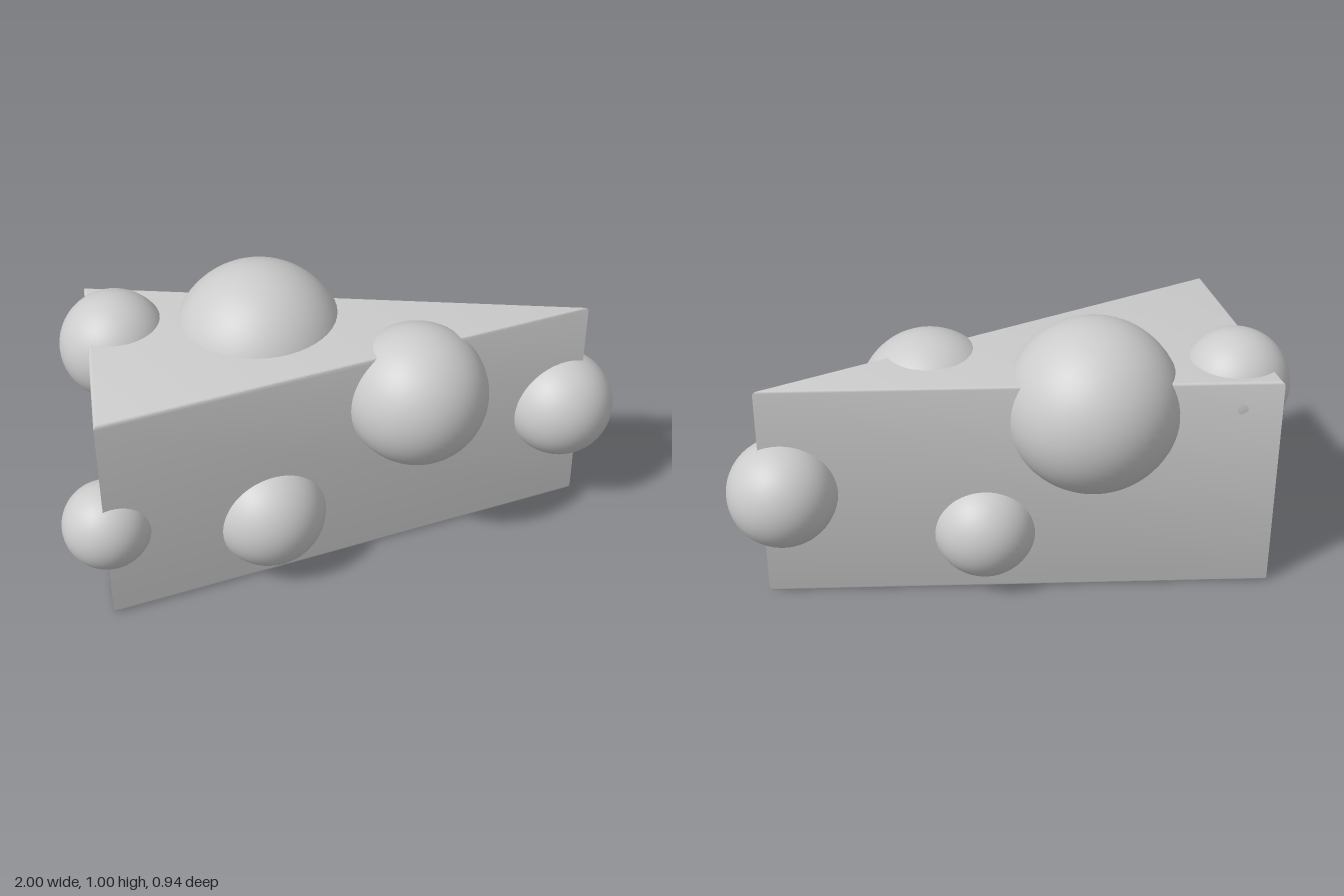
import * as THREE from 'three';
import { toCreasedNormals } from 'three/addons/utils/BufferGeometryUtils.js';

const material = new THREE.MeshStandardMaterial({ color: 0xcccccc });

// Triangular block with softly bevelled top and bottom edges
function createWedge() {
  const height = 0.825, bevel = 0.015;
  // Plan outline, drawn as (x, -z)
  const outline = new THREE.Shape([
    new THREE.Vector2(-0.857, -0.4),
    new THREE.Vector2(0.88, 0.01),
    new THREE.Vector2(-0.857, 0.412),
  ]);
  const geometry = new THREE.ExtrudeGeometry(outline, {
    depth: height - 2 * bevel,
    bevelThickness: bevel,
    bevelSize: bevel,
    bevelOffset: -bevel,
    bevelSegments: 4,
  });
  geometry.rotateX(-Math.PI / 2);
  geometry.translate(0, bevel + 0.004, 0);
  const wedge = new THREE.Mesh(toCreasedNormals(geometry, 0.6), material);
  wedge.name = 'wedge';
  return wedge;
}

// Balls half sunk into the block: name, x, y, z, radius
const balls = [
  ['largeTopBall', -0.263, 0.69, -0.16, 0.309],
  ['frontUpperBall', 0.247, 0.632, 0.127, 0.25],
  ['frontLowerBall', -0.286, 0.238, 0.2, 0.202],
  ['frontCornerBall', -0.848, 0.342, 0.313, 0.154],
  ['backCornerBall', -0.765, 0.727, -0.195, 0.192],
  ['tipBall', 0.807, 0.42, -0.015, 0.193],
  ['backLowerBall', 0.115, 0.233, -0.125, 0.186],
];

export function createModel() {
  const model = new THREE.Group();
  model.name = 'wedgeWithBalls';
  model.add(createWedge());
  for (const [name, x, y, z, radius] of balls) {
    const ball = new THREE.Mesh(new THREE.SphereGeometry(radius, 48, 32), material);
    ball.name = name;
    ball.position.set(x, y, z);
    model.add(ball);
  }
  return model;
}
